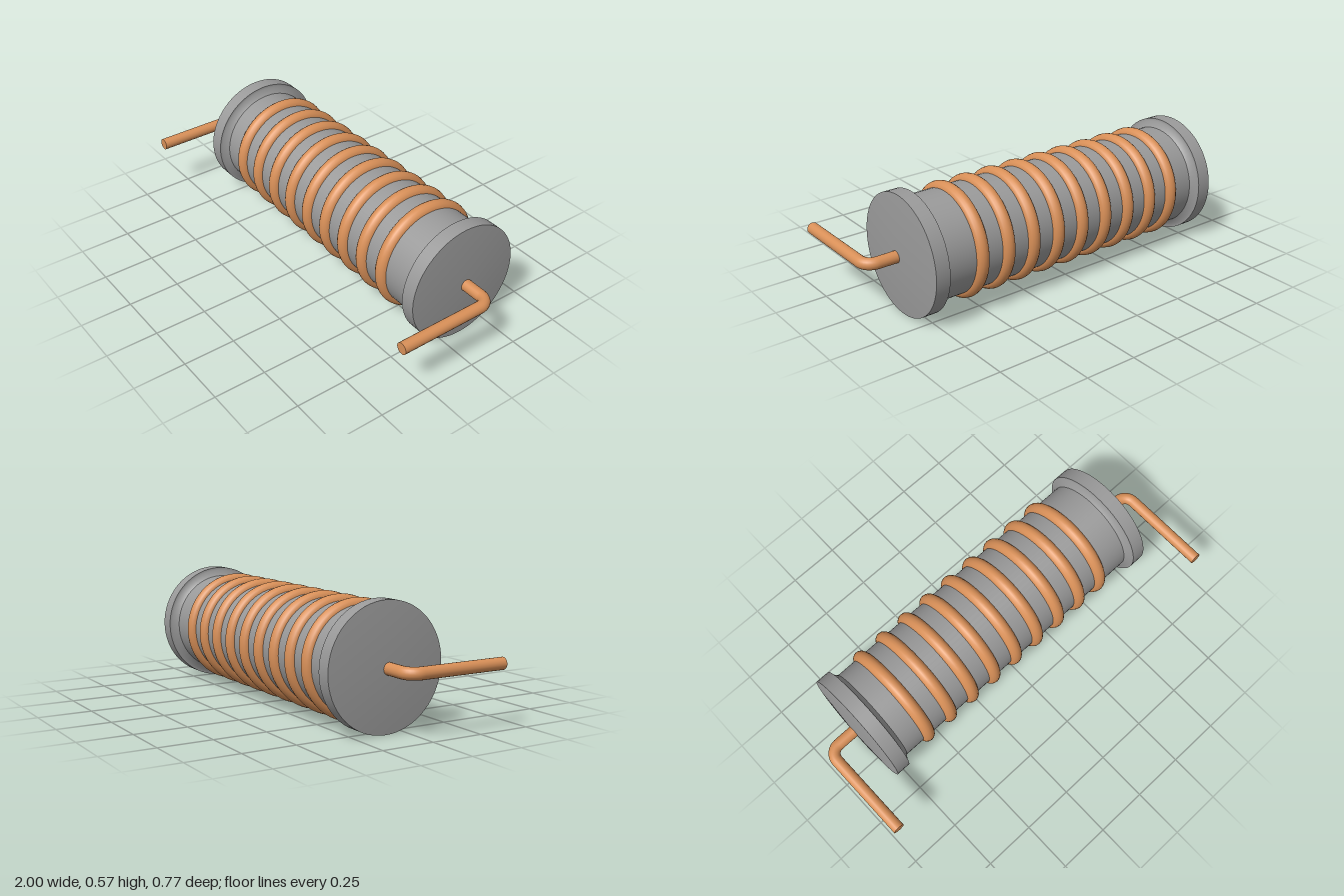
import * as THREE from 'three';
import { toCreasedNormals } from 'three/addons/utils/BufferGeometryUtils.js';

const AXIS_Y = 0.287;
const AXIS_Z = -0.1;
const WIRE_R = 0.028;

const coreMaterial = new THREE.MeshStandardMaterial({ color: 0x9a9a9a });
const copperMaterial = new THREE.MeshStandardMaterial({ color: 0xd99058 });

function addMesh(parent, name, geometry, material) {
  const mesh = new THREE.Mesh(geometry, material);
  mesh.name = name;
  parent.add(mesh);
  return mesh;
}

// Spool turned about the x axis: conical end, flange, chamfer, barrel, mirrored
function coreGeometry() {
  const half = [[0, 0.828], [0.286, 0.805], [0.286, 0.735], [0.272, 0.735], [0.245, 0.712]];
  const lower = half.map(([r, x]) => new THREE.Vector2(r, -x));
  const upper = half.map(([r, x]) => new THREE.Vector2(r, x)).reverse();
  const lathe = new THREE.LatheGeometry([...lower, ...upper], 64);
  // The crease angle blends the flange's inner face into the chamfer
  return toCreasedNormals(lathe.rotateZ(-Math.PI / 2), 0.78);
}

// Wire leaving the end of the core and bending forward; side is +1 or -1
function addLead(parent, side) {
  const group = new THREE.Group();
  group.name = side > 0 ? 'leftLead' : 'rightLead';
  const x = 0.972, bend = 0.055, tipZ = 0.485;
  const p = (px, pz) => new THREE.Vector3(side * px, 0, pz);
  const path = new THREE.CurvePath();
  const k = bend * 0.448;
  path.add(new THREE.LineCurve3(p(0.8, 0), p(x - bend, 0)));
  path.add(new THREE.CubicBezierCurve3(p(x - bend, 0), p(x - k, 0), p(x, k), p(x, bend)));
  path.add(new THREE.LineCurve3(p(x, bend), p(x, tipZ)));
  addMesh(group, 'leadWire', new THREE.TubeGeometry(path, 64, WIRE_R, 20), copperMaterial);
  addMesh(group, 'leadTip', new THREE.CircleGeometry(WIRE_R, 20), copperMaterial)
    .position.set(side * x, 0, tipZ);
  parent.add(group);
}

export function createModel() {
  const model = new THREE.Group();
  model.name = 'coil';
  const parts = new THREE.Group();
  parts.name = 'coilAssembly';
  parts.position.set(0, AXIS_Y, AXIS_Z);
  model.add(parts);

  addMesh(parts, 'core', coreGeometry(), coreMaterial);

  // Nine evenly spaced turns of wire around the barrel
  const windings = new THREE.Group();
  windings.name = 'windings';
  const turn = new THREE.TorusGeometry(0.239, 0.033, 16, 64).rotateY(Math.PI / 2);
  for (let i = 0; i < 9; i++) {
    addMesh(windings, `winding${i + 1}`, turn, copperMaterial).position.x = -0.578 + i * 0.1398;
  }
  parts.add(windings);

  for (const side of [1, -1]) addLead(parts, side);
  return model;
}
